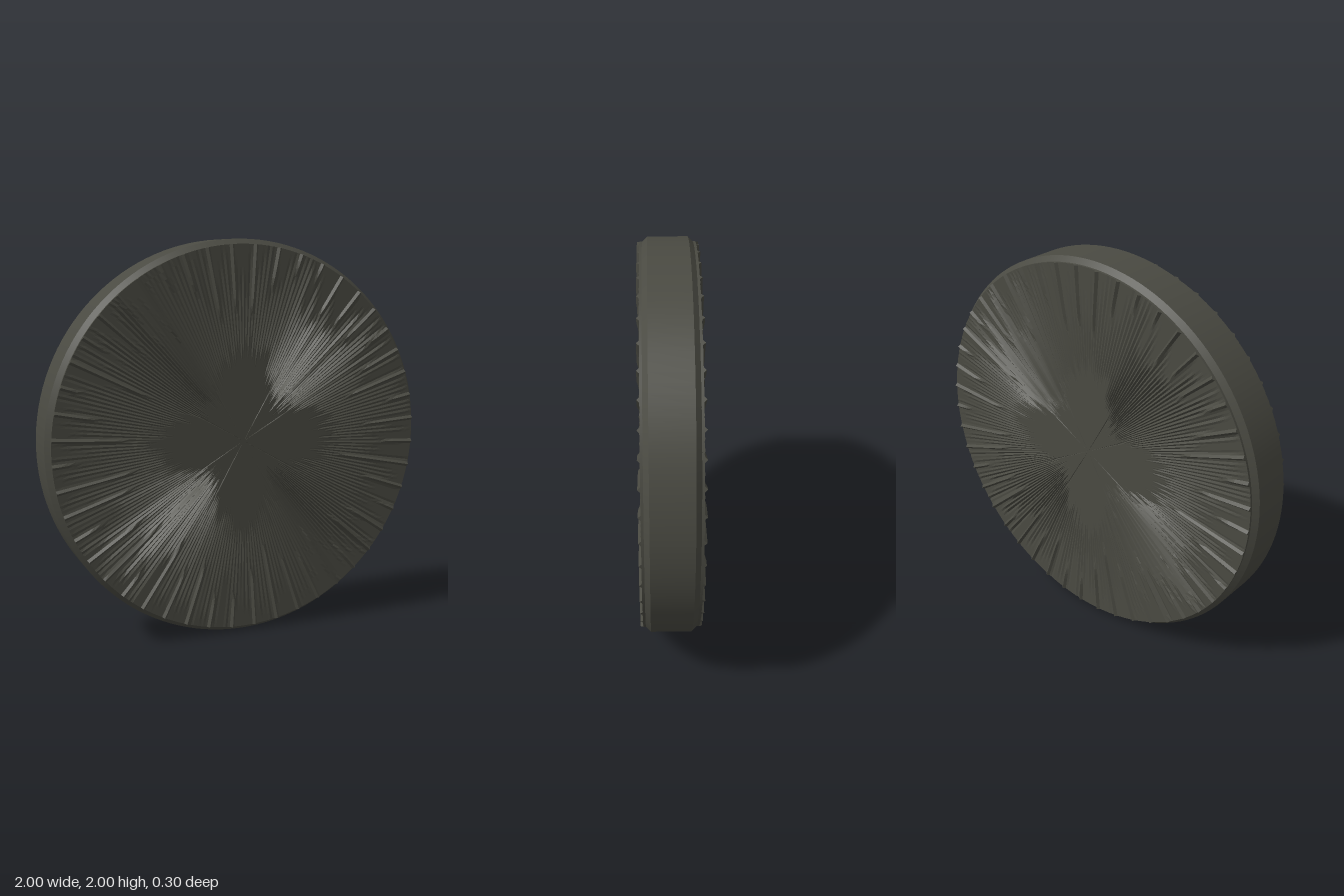
import * as THREE from 'three';

const COLUMNS = 480; // angular steps of the pleated face
const RINGS = 26;
const FACE_RADIUS = 0.975;

// Small repeatable pseudo-random value in 0..1
function noise(n) {
  const s = Math.sin(n * 127.1 + 11.7) * 43758.5453;
  return s - Math.floor(s);
}

const smooth = (a, b, v) => THREE.MathUtils.smoothstep(v, a, b);

// Relief of the face: calm star in the middle, pleats towards the rim
function relief(column, r) {
  const angle = (column / COLUMNS) * Math.PI * 2;
  const diagonal = Math.sin(2 * angle) ** 2;
  const pleat = Math.floor(column / 2);
  const crest = column % 2 === 0;
  let z = 0.137;

  // Fine pleats, deepest in the four diagonal patches
  const start = 0.4 - 0.22 * diagonal + 0.12 * noise(pleat);
  const end = 0.62 + 0.34 * noise(pleat + 500);
  const band = smooth(start, start + 0.05, r) * (1 - smooth(end, end + 0.1, r));
  const depth = 0.002 + 0.005 * diagonal * diagonal * noise(pleat + 900);
  z += (crest ? 1 : -1) * depth * band;

  // Bold ribs that reach the rim
  if (column % 10 === 5) {
    const from = 0.5 + 0.35 * noise(pleat + 70);
    z = THREE.MathUtils.lerp(z, 0.15, smooth(from, from + 0.12, r));
  }

  // Creases radiating from the centre
  const degrees = Math.round((angle * 180) / Math.PI * 100) / 100 % 90;
  if ((degrees === 30 || degrees === 60) && r > 0.02 && r < 0.4) z -= 0.003;
  return z;
}

// Polar grid with a short wall at its outer edge
function pleatedFace() {
  const positions = [];
  const indices = [];
  for (let ring = 0; ring <= RINGS + 1; ring++) {
    const r = FACE_RADIUS * Math.min(ring / RINGS, 1);
    for (let c = 0; c < COLUMNS; c++) {
      const angle = (c / COLUMNS) * Math.PI * 2;
      const z = ring > RINGS ? 0.115 : relief(c, r);
      positions.push(Math.cos(angle) * r, Math.sin(angle) * r, z);
    }
  }
  for (let ring = 0; ring <= RINGS; ring++) {
    for (let c = 0; c < COLUMNS; c++) {
      const next = (c + 1) % COLUMNS;
      const a = ring * COLUMNS + c;
      const b = ring * COLUMNS + next;
      const d = a + COLUMNS;
      const e = b + COLUMNS;
      if (ring > 0) indices.push(a, e, b);
      indices.push(a, d, e);
    }
  }
  const indexed = new THREE.BufferGeometry();
  indexed.setAttribute('position', new THREE.Float32BufferAttribute(positions, 3));
  indexed.setIndex(indices);
  const geometry = indexed.toNonIndexed();
  geometry.computeVertexNormals();
  return geometry;
}

export function createModel() {
  const model = new THREE.Group();
  model.name = 'pleatedDisc';
  const charcoal = new THREE.MeshStandardMaterial({ color: 0x4a4a42 });
  charcoal.name = 'charcoal';

  const add = (name, geometry, parent) => {
    const mesh = new THREE.Mesh(geometry, charcoal);
    mesh.name = name;
    parent.add(mesh);
    return mesh;
  };

  // Smooth outer band
  const band = new THREE.CylinderGeometry(1, 1, 0.2, 128, 1, true).rotateX(Math.PI / 2);
  add('outerBand', band, model);

  // Front and back: bevel ring plus pleated face
  const bevel = new THREE.CylinderGeometry(0.97, 1, 0.03, 128, 1, true)
    .rotateX(Math.PI / 2).translate(0, 0, 0.115);
  const face = pleatedFace();
  for (const side of ['front', 'back']) {
    const half = new THREE.Group();
    half.name = side + 'Side';
    add(side + 'Bevel', bevel, half);
    add(side + 'Face', face, half);
    if (side === 'back') half.rotation.y = Math.PI;
    model.add(half);
  }

  model.children.forEach((part) => { part.position.y = 1; });
  return model;
}
